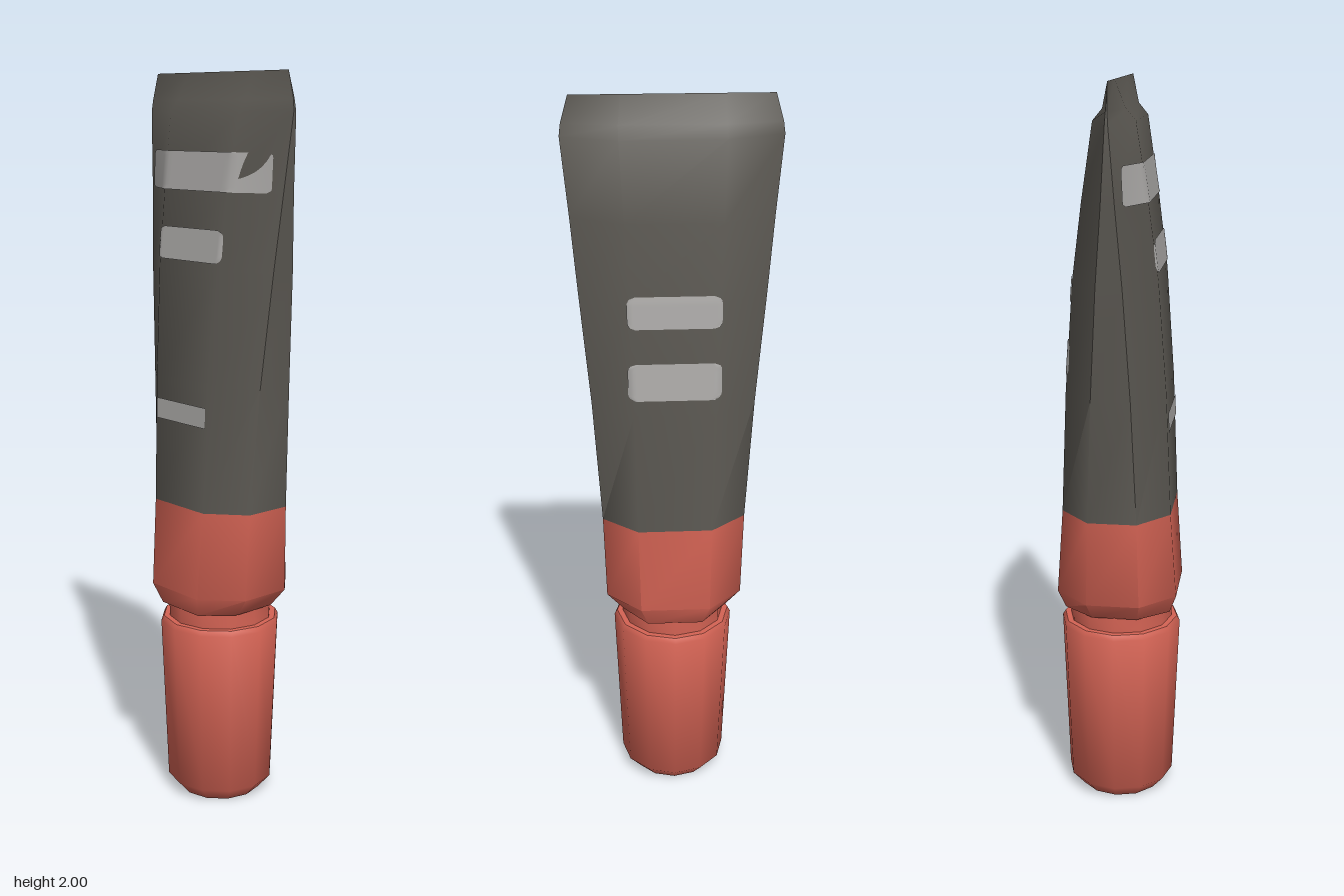
import * as THREE from 'three';
import { toCreasedNormals } from 'three/addons/utils/BufferGeometryUtils.js';

// Tube sections: [y, half width, half depth, half width of front flat, half depth of side flat]
const SECTIONS = [
  [0.565, 0.142, 0.146, 0.075, 0.062],
  [0.62, 0.188, 0.165, 0.095, 0.072],
  [0.86, 0.195, 0.148, 0.1, 0.066],
  [1.2, 0.217, 0.134, 0.107, 0.052],
  [1.5, 0.244, 0.112, 0.117, 0.034],
  [1.7, 0.261, 0.086, 0.125, 0.018],
  [1.9, 0.28, 0.055, 0.135, 0.004],
  [1.93, 0.276, 0.03, 0.135, 0.002],
  [2.0, 0.256, 0, 0.128, 0],
];
const SIDES = 8;
const COLOUR_SPLIT = 2; // section where the red shoulder meets the dark sleeve

// Depth of the front surface at a given x and y
function surfaceDepth(x, y) {
  let i = 0;
  while (i < SECTIONS.length - 2 && y > SECTIONS[i + 1][0]) i++;
  const a = SECTIONS[i], b = SECTIONS[i + 1];
  const t = (y - a[0]) / (b[0] - a[0]);
  const [, w, d, fw, sd] = a.map((v, k) => THREE.MathUtils.lerp(v, b[k], t));
  const s = Math.max(0, (Math.abs(x) - fw) / (w - fw));
  return THREE.MathUtils.lerp(d, sd, Math.min(1, s));
}

// Eight-sided loft that flattens to a seam at the top
function tubeGeometry() {
  const pos = [], lower = [], upper = [];
  for (const [y, w, d, fw, sd] of SECTIONS) {
    const ring = [[-fw, d], [fw, d], [w, sd], [w, -sd], [fw, -d], [-fw, -d], [-w, -sd], [-w, sd]];
    for (const [x, z] of ring) pos.push(x, y, z);
  }
  const centre = pos.length / 3;
  pos.push(0, SECTIONS[0][0], 0);
  for (let j = 0; j < SIDES; j++) lower.push(centre, (j + 1) % SIDES, j);
  for (let i = 0; i < SECTIONS.length - 1; i++) {
    const out = i < COLOUR_SPLIT ? lower : upper;
    for (let j = 0; j < SIDES; j++) {
      const a = i * SIDES + j, b = i * SIDES + (j + 1) % SIDES;
      out.push(a, b, b + SIDES, a, b + SIDES, a + SIDES);
    }
  }
  const g = new THREE.BufferGeometry();
  g.setAttribute('position', new THREE.Float32BufferAttribute(pos, 3));
  g.setIndex([...lower, ...upper]);
  g.addGroup(0, lower.length, 0);
  g.addGroup(lower.length, upper.length, 1);
  return toCreasedNormals(g, 0.87);
}

// Thin label following the front surface, with rounded corners
function labelGeometry(y, halfWidth, height, radius) {
  const g = new THREE.PlaneGeometry(2, height, 32, 16);
  const p = g.attributes.position;
  for (let i = 0; i < p.count; i++) {
    const v = p.getY(i);
    const inCorner = Math.max(0, Math.abs(v) - (height / 2 - radius));
    const inset = radius - Math.sqrt(Math.max(0, radius * radius - inCorner * inCorner));
    const x = p.getX(i) * (halfWidth - inset);
    p.setXYZ(i, x, y + v, surfaceDepth(x, y + v) + 0.003);
  }
  g.computeVertexNormals();
  return g;
}

export function createModel() {
  const model = new THREE.Group();
  const red = new THREE.MeshStandardMaterial({ color: 0xd46354 });
  red.name = 'coral red';
  const dark = new THREE.MeshStandardMaterial({ color: 0x5c5953 });
  dark.name = 'charcoal';
  const grey = new THREE.MeshStandardMaterial({ color: 0xaeacaa });
  grey.name = 'light grey';

  function add(name, geometry, material) {
    const mesh = new THREE.Mesh(geometry, material);
    mesh.name = name;
    model.add(mesh);
    return mesh;
  }
  function lathe(points) {
    const g = new THREE.LatheGeometry(points.map(([r, y]) => new THREE.Vector2(r, y)), 12);
    return toCreasedNormals(g, 0.87);
  }

  add('tube', tubeGeometry(), [red, dark]);
  add('cap', lathe([[0, 0], [0.115, 0], [0.15, 0.04], [0.168, 0.508], [0.16, 0.522], [0, 0.522]]), red);
  add('neck', lathe([[0.144, 0.51], [0.144, 0.57]]), red);

  // Front labels
  add('frontWideBand', labelGeometry(1.75, 0.235, 0.1, 0.012), grey);
  add('frontLabel', labelGeometry(1.562, 0.127, 0.085, 0.02), grey);
  add('frontSmallLabel', labelGeometry(1.117, 0.1, 0.055, 0.002), grey);
  // Back labels
  for (const [name, y, height] of [['backUpperLabel', 1.475, 0.085], ['backLowerLabel', 1.29, 0.1]]) {
    add(name, labelGeometry(y, 0.122, height, 0.02), grey).rotation.y = Math.PI;
  }
  return model;
}
